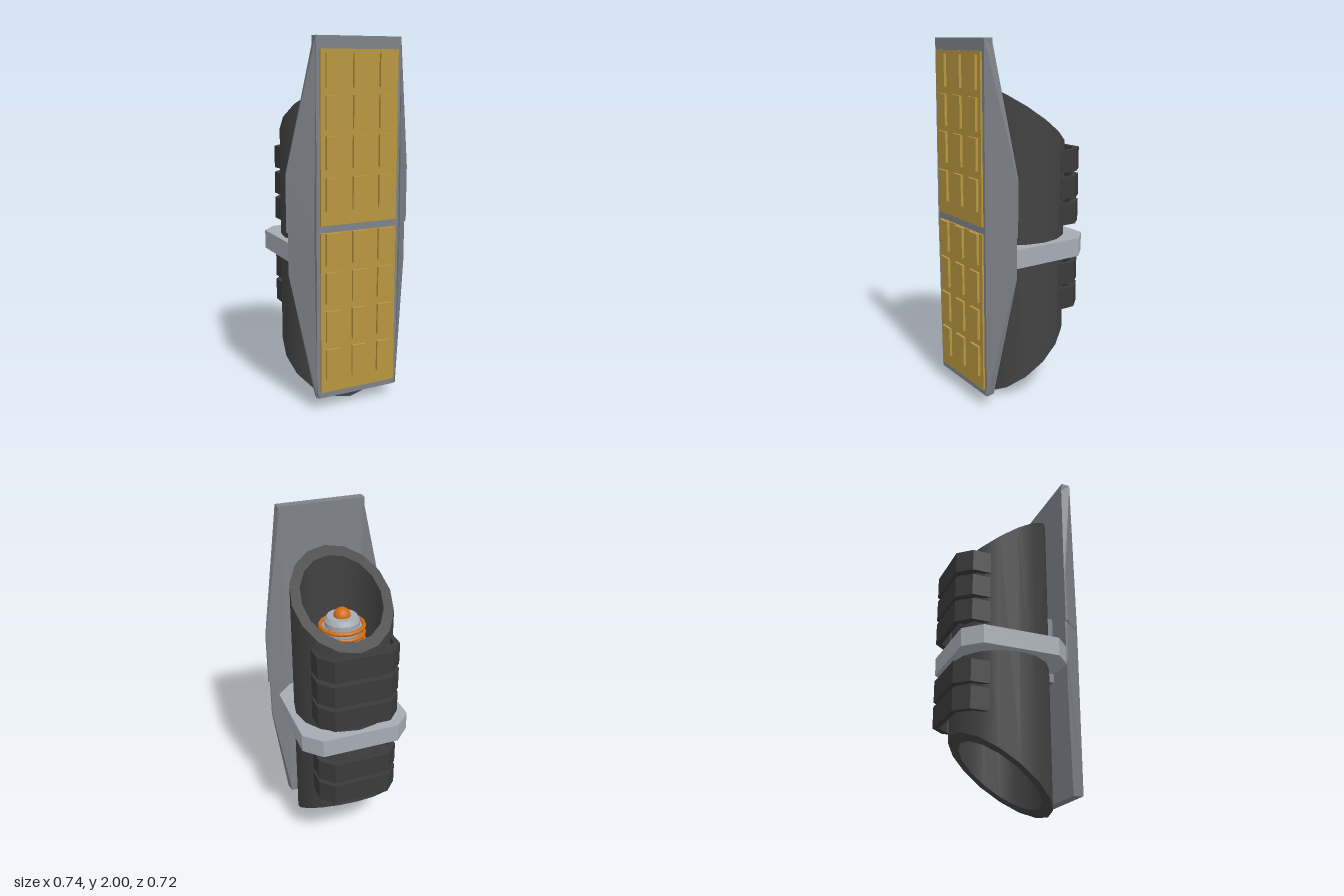
import * as THREE from 'three';

const mat = (name, color, side = THREE.FrontSide) => {
  const m = new THREE.MeshStandardMaterial({ color, side });
  m.name = name;
  return m;
};

export function createModel() {
  const root = new THREE.Group();
  root.name = 'panelAndTubeUnit';

  const panelGrey = mat('panelGrey', 0x7e8288);
  const lightGrey = mat('lightGrey', 0xa6abb4);
  const tubeBlack = mat('tubeBlack', 0x424242);
  const bandBlack = mat('bandBlack', 0x3a3a3a);
  const gold = mat('gold', 0xb8963f);
  const orange = mat('orange', 0xd06c10);

  const AXIS_Z = -0.03;

  const add = (name, geo, material, x = 0, y = 0, z = 0, parent = root) => {
    const m = new THREE.Mesh(geo, material);
    m.name = name;
    m.position.set(x, y, z);
    parent.add(m);
    return m;
  };
  // Box given by its limits on each axis
  const box = (name, material, [x0, x1], [y0, y1], [z0, z1], parent = root) =>
    add(name, new THREE.BoxGeometry(x1 - x0, y1 - y0, z1 - z0), material,
      (x0 + x1) / 2, (y0 + y1) / 2, (z0 + z1) / 2, parent);
  // Horizontal slab from an outline of [x, z] points between two heights
  const slab = (name, material, outline, y0, y1) => {
    const shape = new THREE.Shape(outline.map(([x, z]) => new THREE.Vector2(x, -z)));
    const geo = new THREE.ExtrudeGeometry(shape, { depth: y1 - y0, bevelEnabled: false });
    geo.rotateX(-Math.PI / 2);
    return add(name, geo, material, 0, y0, 0);
  };

  // Backing panel, slightly narrower at its foot
  const panelShape = new THREE.Shape([
    [-0.235, 0.07], [0.235, 0.07], [0.245, 0.14], [0.245, 2], [-0.245, 2], [-0.245, 0.14],
  ].map(([x, y]) => new THREE.Vector2(x, y)));
  add('backingPanel', new THREE.ExtrudeGeometry(panelShape, { depth: 0.052, bevelEnabled: false }),
    panelGrey, 0, 0, 0.28);

  // Swept-back wings: four-cornered front and back faces joined by edge strips
  const wing = (name, side, tip, reach, elbow) => {
    const seam = 0.99;
    const front = [[0.245, tip, 0.332], [reach, elbow, 0.215], [reach, seam, 0.215], [0.258, seam, 0.332]];
    const back = [[0.235, tip, 0.28], [reach - 0.004, elbow, 0.207], [reach - 0.004, seam, 0.207], [0.235, seam, 0.28]];
    const up = tip > seam ? 1 : -1;
    const flip = side * up < 0;
    const pos = [];
    const quad = (a, b, c, d) => {
      for (const t of [[a, b, c], [a, c, d]]) {
        if (flip) t.reverse();
        for (const p of t) pos.push(p[0] * side, p[1], p[2]);
      }
    };
    quad(front[3], front[2], front[1], front[0]);
    quad(back[0], back[1], back[2], back[3]);
    for (let i = 0; i < 4; i++) {
      const j = (i + 1) % 4;
      quad(front[i], front[j], back[j], back[i]);
    }
    const geo = new THREE.BufferGeometry();
    geo.setAttribute('position', new THREE.Float32BufferAttribute(pos, 3));
    geo.computeVertexNormals();
    add(name, geo, panelGrey);
  };
  for (const side of [1, -1]) {
    const label = side > 0 ? 'left' : 'right';
    wing(label + 'UpperWing', side, 2, 0.368, 1.3);
    wing(label + 'LowerWing', side, 0.07, 0.358, 0.76);
  }

  // Two gold plates with raised tiles
  const rows = [[1.83, 1.62, 1.415, 1.2], [0.908, 0.695, 0.482, 0.267]];
  [[1.035, 1.935], [0.105, 0.995]].forEach((span, i) => {
    const plate = new THREE.Group();
    plate.name = i ? 'lowerGoldPlate' : 'upperGoldPlate';
    root.add(plate);
    box('plate', gold, [-0.225, 0.225], span, [0.332, 0.342], plate);
    for (const y of rows[i])
      for (const x of [-0.156, 0, 0.154])
        box('tile', gold, [x - 0.042, x + 0.042], [y - 0.086, y + 0.086], [0.34, 0.357], plate);
  });

  // Block joining panel and tube
  box('mountBlock', panelGrey, [-0.057, 0.057], [0.75, 1.15], [0.235, 0.285]);

  // Hollow tube with both ends cut on a slant
  const R = 0.277, r = 0.222;
  const tube = new THREE.Group();
  tube.name = 'tube';
  tube.position.z = AXIS_Z;
  root.add(tube);
  const tubeSkin = (name, from, to, isRim) => {
    const geo = new THREE.LatheGeometry([new THREE.Vector2(...from), new THREE.Vector2(...to)], 16);
    const p = geo.attributes.position;
    for (let i = 0; i < p.count; i++) {
      const z = p.getZ(i);
      p.setY(i, p.getY(i) > 0.5 ? 1.58 + 0.686 * z : 0.195 - 0.7 * z);
    }
    if (isRim) geo.computeVertexNormals();
    add(name, geo, tubeBlack, 0, 0, 0, tube);
  };
  tubeSkin('outerWall', [R, 0], [R, 1], false);
  tubeSkin('topRim', [R, 1], [r, 1], true);
  tubeSkin('innerWall', [r, 1], [r, 0], false);
  tubeSkin('bottomRim', [r, 0], [R, 0], true);

  // Eight-sided collar through the tube
  slab('collar', lightGrey, [
    [0.22, -0.34], [0.312, -0.247], [0.312, 0.188], [0.22, 0.28],
    [-0.22, 0.28], [-0.312, 0.188], [-0.312, -0.247], [-0.22, -0.34],
  ], 0.8, 0.905);

  // Angular bands round the back of the tube, each with a corner brace
  const bandOutline = [
    [-0.23, -0.18], [-0.23, -0.285], [-0.16, -0.36], [0.16, -0.36], [0.23, -0.285], [0.23, -0.18],
    [0.203, -0.18], [0.203, -0.262], [0.142, -0.33], [-0.142, -0.33], [-0.203, -0.262], [-0.203, -0.18],
  ];
  const braceOutline = [[-0.203, -0.262], [-0.142, -0.33], [-0.09, -0.28], [-0.13, -0.2]];
  for (const [y0, y1] of [[1.27, 1.395], [1.117, 1.242], [0.967, 1.092], [0.612, 0.738], [0.463, 0.588]]) {
    slab('backBand', bandBlack, bandOutline, y0, y1);
    slab('bandBrace', bandBlack, braceOutline, y0 + 0.02, y1 - 0.02);
  }

  // Coil core inside the tube: stepped post, wound rings and a round tip
  const core = new THREE.Group();
  core.name = 'coil';
  core.position.z = AXIS_Z;
  root.add(core);
  const post = (name, r0, r1, y0, y1) =>
    add(name, new THREE.CylinderGeometry(r1, r0, y1 - y0, 16), lightGrey, 0, (y0 + y1) / 2, 0, core);
  post('coilBase', 0.17, 0.155, 0.9, 1.1);
  post('coilShoulder', 0.155, 0.125, 1.1, 1.15);
  post('coilPost', 0.11, 0.11, 1.15, 1.42);
  post('coilNeck', 0.098, 0.098, 1.42, 1.45);
  post('coilCap', 0.098, 0.083, 1.45, 1.475);
  const ring = (name, radius, wire, y) => {
    const geo = new THREE.TorusGeometry(radius, wire, 8, 16);
    geo.rotateX(Math.PI / 2);
    add(name, geo, orange, 0, y, 0, core);
  };
  for (let i = 0; i < 4; i++) ring('wideRing', 0.183, 0.019, 0.94 + i * 0.045);
  for (let i = 0; i < 7; i++) ring('narrowRing', 0.12, 0.012, 1.18 + i * 0.04);
  add('coilTip', new THREE.SphereGeometry(0.047, 16, 12), orange, 0, 1.475, 0, core);

  return root;
}
